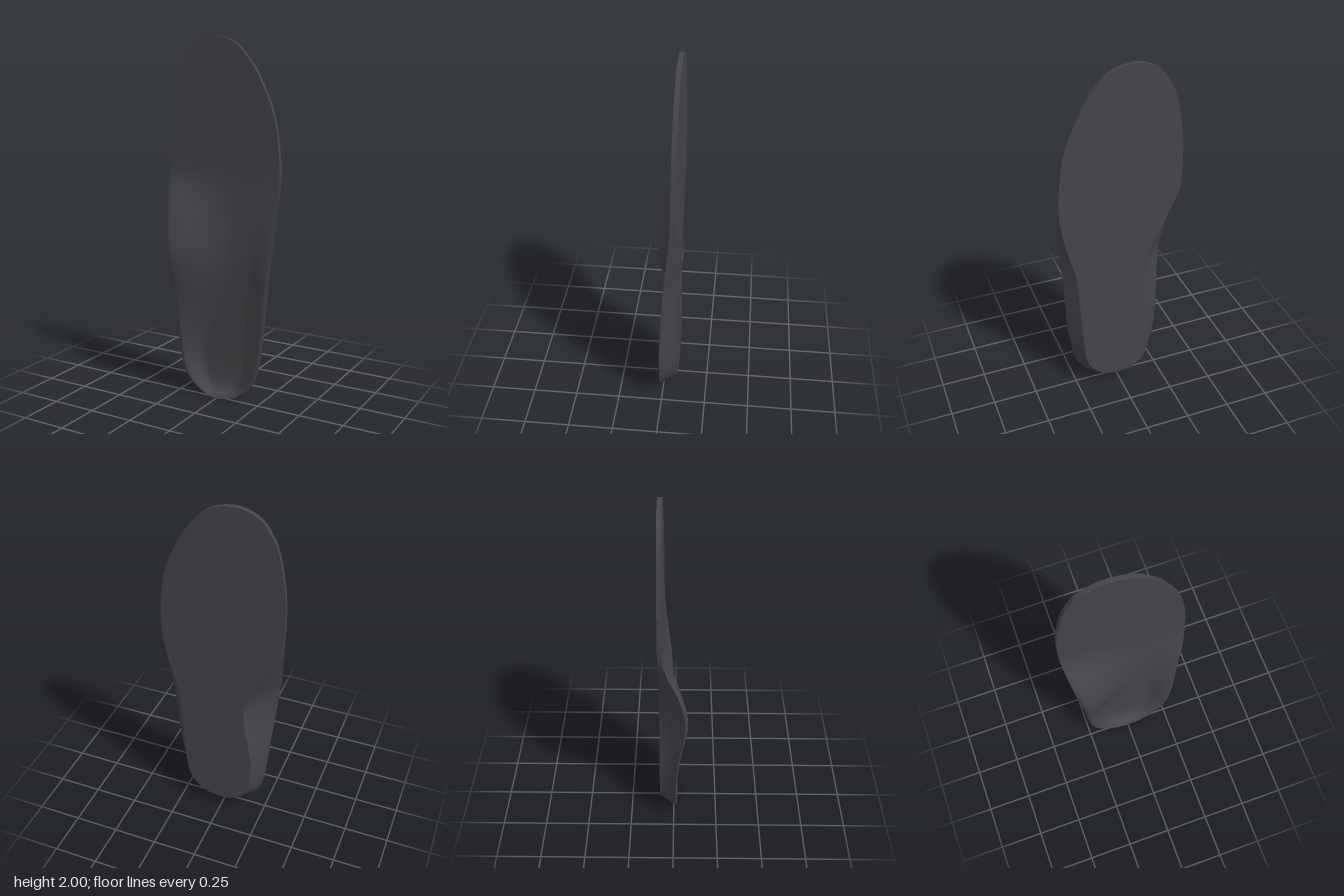
import * as THREE from 'three';

const BACK = -0.08; // plane of the flat sole
const SHEET = -0.055; // top of the thin forefoot
const HEEL = 0.005;

// Outline from heel to toe: y, left x, right x
const outline = [
  [HEEL, 0.01, 0.01], [0.02, -0.07, 0.09], [0.05, -0.13, 0.152], [0.1, -0.185, 0.205],
  [0.2, -0.23, 0.255], [0.4, -0.255, 0.285], [0.6, -0.27, 0.3], [0.8, -0.286, 0.312],
  [1.0, -0.312, 0.334], [1.2, -0.336, 0.339], [1.4, -0.345, 0.33], [1.6, -0.335, 0.295],
  [1.8, -0.295, 0.205], [1.9, -0.248, 0.132], [1.95, -0.208, 0.082], [1.985, -0.15, 0.015],
  [2.0, -0.075, -0.075]
];
const last = outline.length - 1;
// Swapping left and right beyond each end keeps the outline round there
const swapped = ([y, l, r]) => [y, r, l];
const rows = [swapped(outline[1]), ...outline, swapped(outline[last - 1])];

// Outline row at f (0 heel to 1 toe)
function outlineAt(f) {
  const i = Math.min(Math.floor(f * last), last - 1), t = f * last - i;
  return rows[i + 1].map((b, k) => {
    const a = rows[i][k], c = rows[i + 2][k], d = rows[i + 3][k];
    return b + 0.5 * t * (c - a + t * (2 * a - 5 * b + 4 * c - d + t * (3 * (b - c) + d - a)));
  });
}

// Smooth profile through [y, value] keys, constant beyond its ends
function profile(...keys) {
  const end = keys.length - 1;
  const tangent = i => (i === 0 || i === end ? 0
    : (keys[i + 1][1] - keys[i - 1][1]) / (keys[i + 1][0] - keys[i - 1][0]));
  return y => {
    if (y <= keys[0][0]) return keys[0][1];
    if (y >= keys[end][0]) return keys[end][1];
    const i = keys.findIndex(k => k[0] > y) - 1;
    const [y0, a] = keys[i], [y1, b] = keys[i + 1];
    const h = y1 - y0, t = (y - y0) / h, e = t * t * (3 - 2 * t);
    return a + (b - a) * e + h * t * (1 - t) * (tangent(i) * (1 - t) - tangent(i + 1) * t);
  };
}

const archRim = profile([0.2, 0.02], [0.5, 0.036], [0.8, 0.08], [1, 0.044], [1.2, -0.038], [1.3, SHEET]);
const outerRim = profile([0.2, 0.02], [0.8, -0.009], [1.3, SHEET]);
const floorHeight = profile([HEEL, 0.018], [0.05, -0.022], [0.1, -0.04], [0.2, -0.048],
  [0.8, -0.036], [1.2, -0.054], [1.3, SHEET]);
const archUndercut = profile([HEEL, 0], [0.05, 0.04], [0.2, 0.06], [0.4, 0.075], [0.8, 0.15],
  [1.1, 0.06], [1.3, 0]);
const outerUndercut = profile([HEEL, 0], [0.05, 0.04], [0.2, 0.055], [0.8, 0.06], [1.3, 0]);
const archWidth = profile([0.2, 0.28], [0.8, 0.64]);
const OUTER_WIDTH = 0.27;

// All dimensions of the cross-section at f
function section(f) {
  const [y, left, right] = outlineAt(f);
  return {
    y, left, right,
    soleY: y + 0.066 * Math.max(0, 1 - y / 0.3) ** 2,
    archZ: archRim(y), outerZ: outerRim(y), floor: floorHeight(y),
    archWidth: archWidth(y), archInset: archUndercut(y), outerInset: outerUndercut(y)
  };
}

const slope = (s, w) => (s < w ? 0.5 + 0.5 * Math.cos(Math.PI * s / w) : 0);
const roundOff = s => (s < 0.05 ? 0.15 * (1 - s / 0.05) ** 2 : 0);

// Height of the foot bed at s (0 arch side to 1 outer side)
function bedHeight(p, s) {
  return p.floor + (p.archZ - p.floor) * (slope(s, p.archWidth) - roundOff(s))
    + (p.outerZ - p.floor) * (slope(1 - s, OUTER_WIDTH) - roundOff(1 - s));
}

function bedPoint(u, p) {
  const s = 0.5 - 0.5 * Math.cos(Math.PI * u);
  return [p.left + (p.right - p.left) * s, p.y, bedHeight(p, s)];
}

function solePoint(u, p) {
  const l = p.left + p.archInset, r = p.right - p.outerInset;
  return [r + (l - r) * u, p.soleY, BACK];
}

// Side walls run between rim (w = 0) and sole (w = 1)
function wallPoint(x, rim, w, p) {
  return [x, p.y + (p.soleY - p.y) * w, rim + (BACK - rim) * w];
}

// The arch wall is slightly hollow
function archWallPoint(u, p) {
  const w = 1 - u;
  return wallPoint(p.left + p.archInset * (w + 0.35 * w * u), bedHeight(p, 0), w, p);
}

function outerWallPoint(u, p) {
  return wallPoint(p.right - p.outerInset * u, bedHeight(p, 1), u, p);
}

// Surface patch swept through all cross-sections
function patch(name, pointAt, across, material) {
  const along = last * 8, positions = [], index = [];
  for (let j = 0; j <= along; j++) {
    const p = section(j / along);
    for (let i = 0; i <= across; i++) positions.push(...pointAt(i / across, p));
  }
  for (let j = 0; j < along; j++) {
    for (let i = 0; i < across; i++) {
      const a = j * (across + 1) + i, b = a + across + 1;
      index.push(a, a + 1, b + 1, a, b + 1, b);
    }
  }
  const geometry = new THREE.BufferGeometry();
  geometry.setAttribute('position', new THREE.Float32BufferAttribute(positions, 3));
  geometry.setIndex(index);
  geometry.computeVertexNormals();
  const mesh = new THREE.Mesh(geometry, material);
  mesh.name = name;
  return mesh;
}

export function createModel() {
  const group = new THREE.Group();
  group.name = 'insole';
  const material = new THREE.MeshStandardMaterial({ color: 0x45454a });
  group.add(
    patch('footBed', bedPoint, 56, material),
    patch('sole', solePoint, 8, material),
    patch('archWall', archWallPoint, 10, material),
    patch('outerWall', outerWallPoint, 10, material)
  );
  return group;
}
